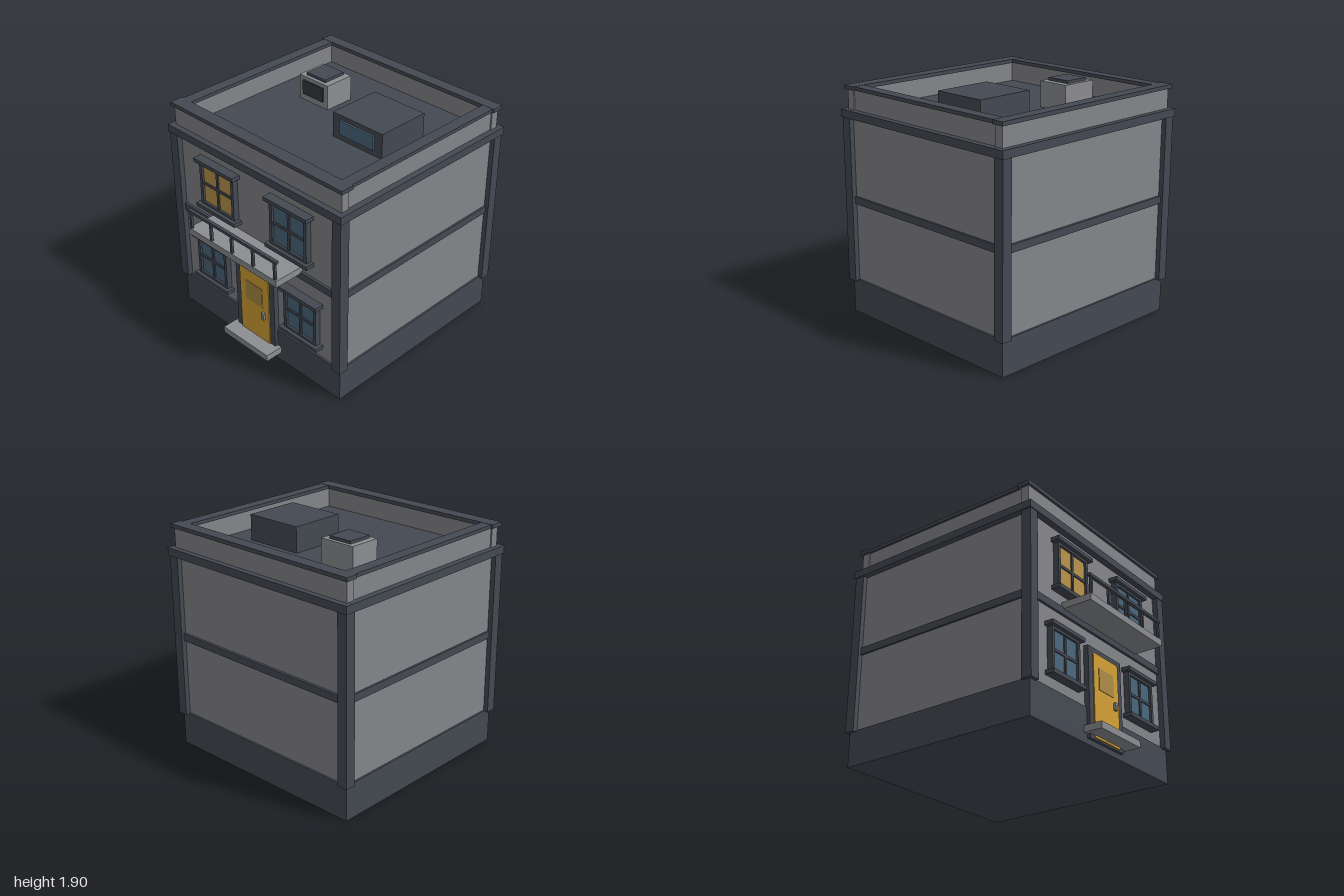
import * as THREE from 'three';

const mat = (name, color) => {
  const m = new THREE.MeshStandardMaterial({ color });
  m.name = name;
  return m;
};

export function createModel() {
  const wall = mat('wall grey', 0x84858a);
  const stone = mat('stone grey', 0x8c8d91);
  const trim = mat('dark trim', 0x444952);
  const grilleDark = mat('grille dark', 0x34373d);
  const glassBlue = mat('blue glass', 0x4a677c);
  const glassLit = mat('lit glass', 0xba934a);
  const doorYellow = mat('door yellow', 0xd3a035);
  const doorPane = mat('door pane', 0xac8b45);

  const model = new THREE.Group();
  model.name = 'townHouse';

  // Box given by its limits on each axis
  const box = (parent, name, material, x0, x1, y0, y1, z0, z1) => {
    const mesh = new THREE.Mesh(new THREE.BoxGeometry(x1 - x0, y1 - y0, z1 - z0), material);
    mesh.position.set((x0 + x1) / 2, (y0 + y1) / 2, (z0 + z1) / 2);
    mesh.name = name;
    parent.add(mesh);
    return mesh;
  };
  const group = (name) => {
    const g = new THREE.Group();
    g.name = name;
    model.add(g);
    return g;
  };

  // Main body
  box(model, 'plinth', trim, -0.895, 0.895, 0, 0.285, -0.96, 0.755);
  box(model, 'walls', wall, -0.88, 0.88, 0.285, 1.62, -0.945, 0.74);
  box(model, 'floorBand', trim, -0.895, 0.895, 0.92, 0.98, -0.965, 0.76);
  box(model, 'corniceAndRoof', trim, -0.93, 0.93, 1.612, 1.675, -0.995, 0.792);

  // Corner pillars
  const pillars = group('cornerPillars');
  for (const s of [-1, 1]) {
    for (const z of [-0.985, 0.7]) {
      box(pillars, 'pillar', trim, s * 0.8775 - 0.0425, s * 0.8775 + 0.0425, 0.275, 1.612, z, z + 0.085);
    }
  }

  // Parapet with coping
  const parapet = group('parapet');
  for (const [z0, z1, c0, c1] of [[0.675, 0.745, 0.655, 0.765], [-0.95, -0.88, -0.97, -0.87]]) {
    box(parapet, 'parapetWall', wall, -0.89, 0.89, 1.675, 1.835, z0, z1);
    box(parapet, 'coping', trim, -0.91, 0.91, 1.833, 1.864, c0, c1);
  }
  for (const s of [-1, 1]) {
    box(parapet, 'parapetWall', wall, s * 0.8475 - 0.0325, s * 0.8475 + 0.0325, 1.675, 1.835, -0.88, 0.675);
    box(parapet, 'coping', trim, s * 0.8475 - 0.0475, s * 0.8475 + 0.0475, 1.833, 1.862, -0.87, 0.655);
  }

  // Window: frame, pane, glazing bars, head and sill
  const addWindow = (name, cx, cy, w, h, glass) => {
    const g = group(name);
    const x = w / 2, y = h / 2, t = 0.028, zb = 0.735;
    for (const s of [-1, 1]) {
      const ex = s * (x - t / 2), ey = s * (y - t / 2);
      box(g, 'frameSide', trim, ex - t / 2, ex + t / 2, -y, y, zb, 0.787);
      box(g, 'frameRail', trim, -x + t, x - t, ey - t / 2, ey + t / 2, zb, 0.787);
      box(g, s > 0 ? 'head' : 'sill', trim, -x - 0.029, x + 0.029,
        s * (y + 0.008) - 0.016, s * (y + 0.008) + 0.016, zb, 0.816);
    }
    box(g, 'pane', glass, -x + t, x - t, -y + t, y - t, 0.76, 0.769);
    box(g, 'verticalBar', trim, -0.011, 0.011, -y + t, y - t, 0.765, 0.78);
    box(g, 'horizontalBar', trim, -x + t, x - t, -0.011, 0.011, 0.765, 0.779);
    g.position.set(cx, cy, 0);
  };
  addWindow('lowerRightWindow', -0.5, 0.58, 0.345, 0.365, glassBlue);
  addWindow('lowerLeftWindow', 0.5, 0.58, 0.345, 0.365, glassBlue);
  addWindow('upperRightWindow', -0.39, 1.3, 0.385, 0.385, glassLit);
  addWindow('upperLeftWindow', 0.39, 1.3, 0.385, 0.385, glassBlue);

  // Front door and step
  const door = group('frontDoor');
  box(door, 'doorFrame', trim, -0.217, 0.217, 0.045, 0.778, 0.735, 0.782);
  box(door, 'doorLeaf', doorYellow, -0.162, 0.163, 0.06, 0.735, 0.75, 0.79);
  box(door, 'doorWindow', doorPane, -0.097, 0.093, 0.45, 0.627, 0.787, 0.794);
  box(door, 'doorHandle', stone, 0.09, 0.118, 0.35, 0.41, 0.788, 0.81);
  box(model, 'doorStep', stone, -0.255, 0.255, 0.077, 0.132, 0.75, 0.906);

  // Balcony
  const balcony = group('balcony');
  box(balcony, 'balconySlab', stone, -0.49, 0.49, 0.968, 1.024, 0.735, 1);
  box(balcony, 'handrail', trim, -0.49, 0.49, 1.168, 1.192, 0.973, 1);
  for (let i = -2; i <= 2; i++) {
    const x = i * 0.2325;
    box(balcony, 'railPost', trim, x - 0.01, x + 0.01, 1.02, 1.17, 0.977, 0.997);
  }

  // Rooftop cooling unit
  const cooler = group('coolingUnit');
  box(cooler, 'coolerBody', stone, -0.53, -0.22, 1.675, 1.882, -0.497, -0.235);
  box(cooler, 'coolerLid', trim, -0.48, -0.275, 1.88, 1.905, -0.467, -0.265);
  box(cooler, 'coolerGrille', grilleDark, -0.485, -0.265, 1.73, 1.85, -0.24, -0.222);

  // Rooftop skylight
  const skylight = group('skylight');
  box(skylight, 'skylightBody', trim, 0.102, 0.6, 1.675, 1.882, -0.43, 0.03);
  box(skylight, 'skylightGlass', glassBlue, 0.18, 0.522, 1.725, 1.842, 0.025, 0.046);

  return model;
}
